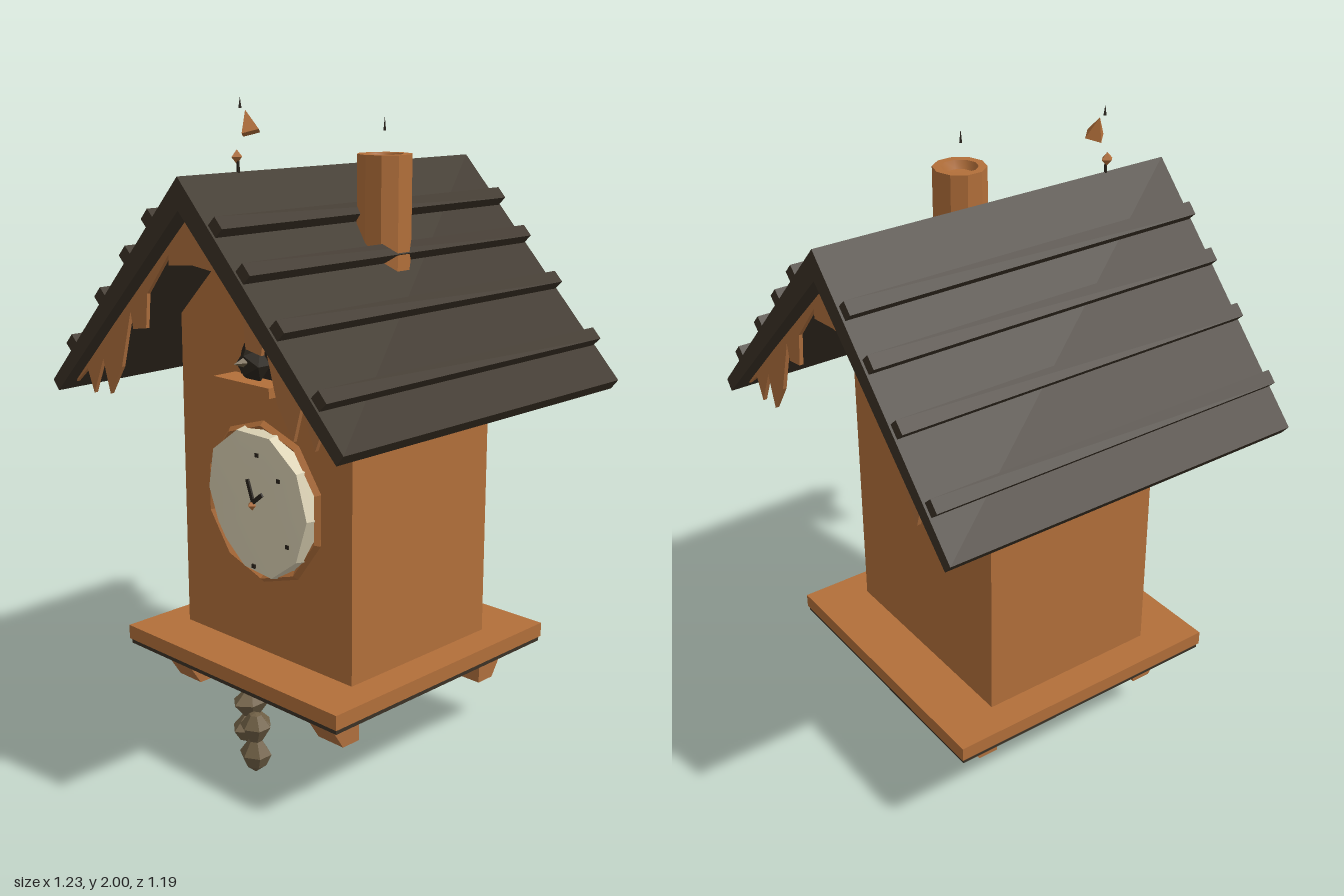
import * as THREE from 'three';
import { toCreasedNormals } from 'three/addons/utils/BufferGeometryUtils.js';

const material = (name, color, side = THREE.FrontSide) => {
  const m = new THREE.MeshStandardMaterial({ color, side });
  m.name = name;
  return m;
};

export function createModel() {
  const model = new THREE.Group();
  model.name = 'cuckooClock';
  const wood = material('warm wood', 0xb26f3a);
  const trimWood = material('trim wood', 0xb0703e, THREE.DoubleSide);
  const roofWood = material('dark roof wood', 0x3b3226);
  const dark = material('dark detail', 0x29231b);
  const cream = material('cream dial', 0xdcd2b4);
  const olive = material('pine cone brown', 0x6f5f45);

  const add = (name, geometry, mat, x = 0, y = 0, z = 0) => {
    const mesh = new THREE.Mesh(geometry, mat);
    mesh.name = name;
    mesh.position.set(x, y, z);
    model.add(mesh);
    return mesh;
  };
  const box = (w, h, d) => new THREE.BoxGeometry(w, h, d);
  const creased = (g, angle = 0.6) => toCreasedNormals(g, angle);
  const flat = (g) => creased(g, 0.01);
  const outline = (pts) => new THREE.Shape(pts.map(([x, y]) => new THREE.Vector2(x, y)));
  // Extrudes a front outline so that it spans z0 to z1
  const slab = (pts, z0, z1) => new THREE.ExtrudeGeometry(outline(pts), { depth: z1 - z0, bevelEnabled: false }).translate(0, 0, z0);
  const lathe = (pts, sides) => new THREE.LatheGeometry(pts.map(([r, y]) => new THREE.Vector2(r, y)), sides);

  // House body with gable top
  add('body', slab([[-0.36, 0.3], [0.36, 0.3], [0.36, 1.36], [0, 1.72], [-0.36, 1.36]], -0.29, 0.3), wood);

  // Base plate with dark underside
  add('basePlate', box(0.92, 0.045, 0.93), wood, 0, 0.3375);
  add('basePlateUnderside', box(0.91, 0.015, 0.92), roofWood, 0, 0.3075);

  // Tapered plinth below the plate, with a carved knob at each corner
  const plinth = new THREE.CylinderGeometry(0.48, 0.38, 0.1, 4).rotateY(Math.PI / 4);
  add('plinth', flat(plinth), wood, 0, 0.25);
  for (const sx of [-1, 1]) for (const sz of [-1, 1]) {
    const knob = box(0.1, 0.1, 0.13);
    const p = knob.attributes.position;
    for (let i = 0; i < p.count; i++) if (p.getZ(i) * sz > 0 && p.getY(i) < 0) p.setZ(i, 0);
    add('cornerKnob', flat(knob), trimWood, sx * 0.315, 0.235, sz * 0.34);
  }

  // Pitched roof
  add('roof', slab([[0, 1.8], [-0.615, 1.155], [-0.59, 1.125], [0, 1.71], [0.59, 1.125], [0.615, 1.155]], -0.597, 0.597), roofWood);

  // Roof battens and gable trim, mirrored
  for (const s of [-1, 1]) {
    for (const x of [0.14, 0.245, 0.37, 0.52]) {
      const batten = add('roofBatten', box(0.042, 0.04, 1.18), roofWood, s * x, 1.823 - 1.05 * x);
      batten.rotation.z = -s * 0.81;
    }
    // Saw-toothed boards beneath each roof edge
    const teeth = [[0, 1.7], [0, 1.56], [0.1, 1.55], [0.1, 1.58], [0.2, 1.46], [0.21, 1.36], [0.27, 1.35],
      [0.28, 1.4], [0.33, 1.23], [0.39, 1.14], [0.42, 1.24], [0.47, 1.13], [0.5, 1.2], [0.56, 1.15], [0.55, 1.17]];
    for (const z of [-0.55, 0.54]) {
      add('gableTrim', slab(teeth.map(([x, y]) => [s * x, y]), z, z + 0.012), trimWood);
    }
  }

  // Chimney with a shallow hollow and a wisp above it
  add('chimney', creased(lathe([[0.08, 1.48], [0.08, 1.84], [0.055, 1.84], [0.045, 1.815], [0, 1.81]], 10)), wood, 0.195);
  add('smokeWisp', new THREE.ConeGeometry(0.005, 0.04, 4), dark, 0.203, 1.925, 0.01);

  // Small finial pieces above the front ridge
  const finialTop = add('finialTop', flat(new THREE.ConeGeometry(0.034, 0.065, 4)), wood, 0.015, 1.935, 0.355);
  finialTop.rotation.z = 0.35;
  add('finialTip', new THREE.ConeGeometry(0.006, 0.03, 4), dark, 0, 1.985, 0.37);
  add('finialBead', flat(new THREE.OctahedronGeometry(0.02)), wood, -0.005, 1.84, 0.38);
  add('finialPin', box(0.006, 0.07, 0.006), dark, 0, 1.81, 0.38);

  // Dial, its lower-left rim sloping back to the wall
  const dial = new THREE.CylinderGeometry(0.225, 0.235, 0.05, 10).rotateX(Math.PI / 2).rotateZ(0.3);
  const dp = dial.attributes.position;
  for (let i = 0; i < dp.count; i++) {
    const x = dp.getX(i), y = dp.getY(i);
    if (dp.getZ(i) > 0 && Math.hypot(x, y) > 0.1) {
      dp.setZ(i, 0.025 - 0.17 * Math.max(0, -0.8 * x - 0.6 * y - 0.03));
    }
  }
  add('dial', creased(dial, 0.5), cream, 0, 0.835, 0.32);
  const rim = new THREE.TorusGeometry(0.236, 0.014, 4, 10).rotateZ(0.3);
  add('dialRim', flat(rim), wood, 0.004, 0.835, 0.305);

  // Hands and hour marks
  for (const [angle, length] of [[0.35, 0.07], [-0.9, 0.05]]) {
    const hand = add('clockHand', box(0.012, length, 0.006).translate(0, length / 2, 0), dark, 0.005, 0.845, 0.349);
    hand.rotation.z = angle;
  }
  add('handPivot', flat(new THREE.OctahedronGeometry(0.016)), wood, 0, 0.835, 0.348);
  for (const [x, y] of [[0.145, 0.74], [0, 0.645], [0.02, 0.99], [0.11, 0.93]]) {
    add('hourMark', box(0.014, 0.012, 0.005), dark, x, y, 0.346);
  }

  // Arched bird door, bird and perch
  const door = new THREE.Shape();
  door.moveTo(-0.085, 1.2).lineTo(0.085, 1.2).lineTo(0.085, 1.25);
  door.absarc(0, 1.25, 0.085, 0, Math.PI, false);
  add('birdDoor', new THREE.ExtrudeGeometry(door, { depth: 0.008, bevelEnabled: false, curveSegments: 8 }), dark, 0, 0, 0.3);
  const bird = add('bird', flat(new THREE.IcosahedronGeometry(0.05)), dark, 0, 1.255, 0.335);
  bird.scale.set(1.1, 1.1, 0.9);
  const beak = add('beak', flat(new THREE.ConeGeometry(0.015, 0.04, 4)), olive, 0, 1.265, 0.39);
  beak.rotation.x = Math.PI / 2;
  add('perch', box(0.235, 0.03, 0.09), wood, 0, 1.195, 0.34);

  // Two hanging pine cone weights
  const cone = [[0, 0], [0.035, 0.025], [0.052, 0.06], [0.022, 0.1], [0.05, 0.145], [0.02, 0.18], [0, 0.185]];
  add('pineConeWeight', flat(lathe(cone, 6)), olive, -0.08, 0.025, 0.29).scale.set(1, 1, 1.4);
  add('pineConeWeight', flat(lathe(cone, 6)), olive, 0.04, 0.005, 0.385).scale.set(1, 1.05, 0.9);

  return model;
}
